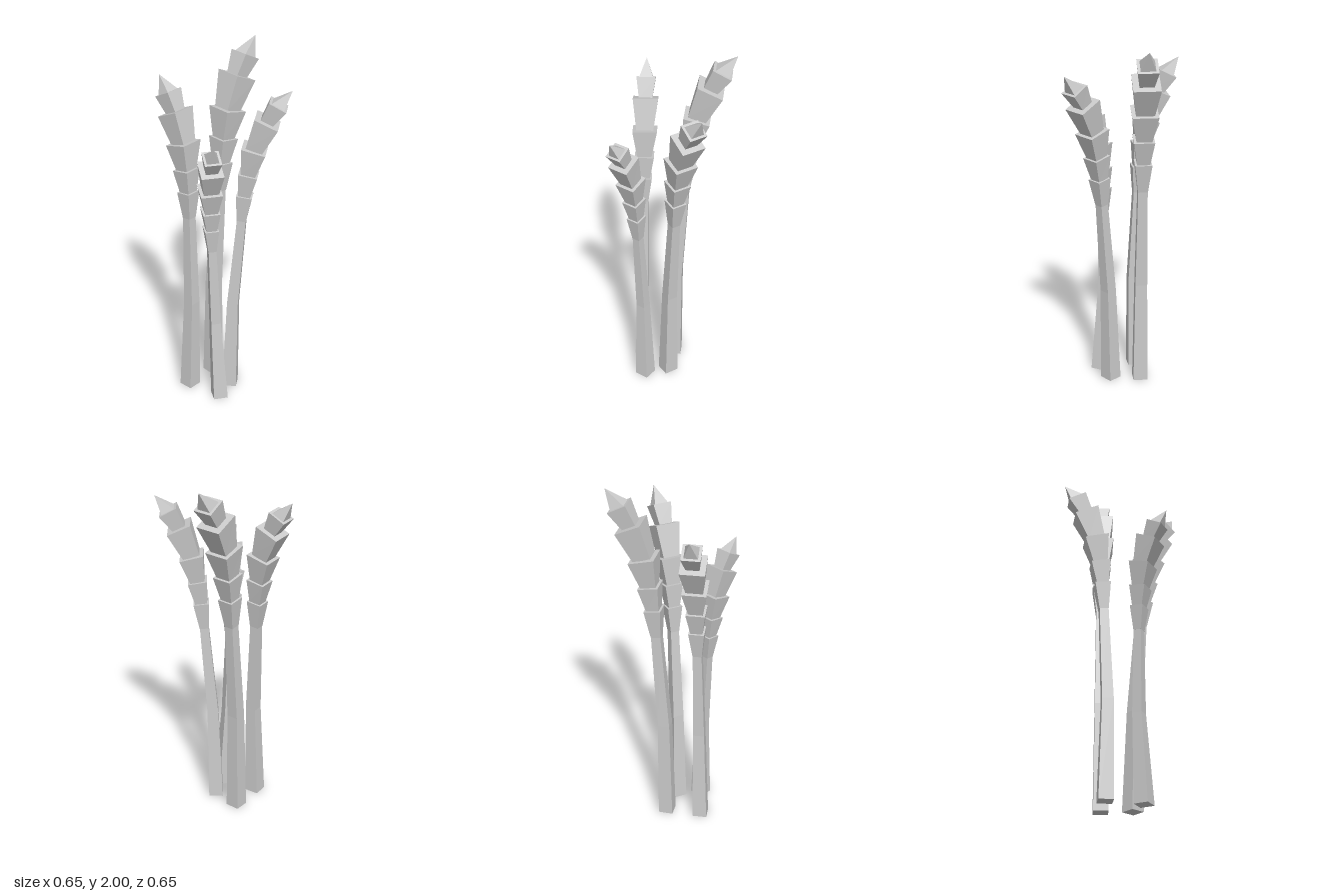
import * as THREE from 'three';

// Rings along a stalk: u = reach in the bending direction, y = height,
// tilt in radians, half = half width of the square section
const STEM = [
  { u: 0, y: 0, tilt: 0, half: 0.04, fixed: true },
  { u: 0.012, y: 0.6, tilt: 0.04, half: 0.033 },
  { u: 0.055, y: 1.17, tilt: 0.1, half: 0.026 },
];
const HEAD = [
  { u: 0.055, y: 1.17, tilt: 0.1, from: 0.027, to: 0.046 },
  { u: 0.07, y: 1.335, tilt: 0.12, from: 0.035, to: 0.056 },
  { u: 0.09, y: 1.475, tilt: 0.17, from: 0.042, to: 0.071 },
  { u: 0.121, y: 1.635, tilt: 0.25, from: 0.049, to: 0.073 },
  { u: 0.19, y: 1.81, tilt: 0.43, from: 0.039, to: 0.055 },
  { u: 0.25, y: 1.912, tilt: 0.49, from: 0.04, to: 0 },
];
const TIP = { u: 0.325, y: 2, tilt: 0.6 };
const CORNERS = [[-1, -1], [-1, 1], [1, 1], [1, -1]];

// Closed square tube through a list of rings
function squareLoft(rings, { scale, lean }) {
  const pos = [];
  const loops = rings.map((r) => CORNERS.map(([a, b]) => {
    const h = r.fixed ? r.half : r.half * scale;
    const y = r.y * scale - a * h * Math.sin(r.tilt);
    return [r.u * scale + a * h * Math.cos(r.tilt) + lean[0] * y, y, b * h + lean[1] * y];
  }));
  const quad = (a, b, c, d) => pos.push(...a, ...b, ...c, ...a, ...c, ...d);
  const first = loops[0], last = loops[loops.length - 1];
  for (let k = 0; k < loops.length - 1; k++) {
    for (let i = 0; i < 4; i++) {
      const j = (i + 1) % 4, lo = loops[k], hi = loops[k + 1];
      if (rings[k + 1].half === 0) pos.push(...lo[i], ...lo[j], ...hi[j]);
      else quad(lo[i], lo[j], hi[j], hi[i]);
    }
  }
  quad(first[3], first[2], first[1], first[0]);
  if (rings[rings.length - 1].half > 0) quad(...last);
  const geo = new THREE.BufferGeometry();
  geo.setAttribute('position', new THREE.Float32BufferAttribute(pos, 3));
  geo.computeVertexNormals();
  return geo;
}

function makeStalk(spec, material) {
  const stalk = new THREE.Group();
  const add = (name, rings) => {
    const mesh = new THREE.Mesh(squareLoft(rings, spec), material);
    mesh.name = name;
    stalk.add(mesh);
  };
  add('stem', STEM);
  // Flared grain segments, each wider at its top, ending in a point
  HEAD.forEach((g, i) => {
    const next = HEAD[i + 1] || TIP;
    add(i < HEAD.length - 1 ? 'grainSegment' + (i + 1) : 'grainTip', [
      { u: g.u, y: g.y, tilt: next === TIP ? g.tilt : (g.tilt + next.tilt) / 2, half: g.from },
      { u: next.u, y: next.y, tilt: next.tilt, half: g.to },
    ]);
  });
  stalk.position.set(spec.x, 0, spec.z);
  stalk.rotation.y = spec.turn;
  stalk.name = spec.name;
  return stalk;
}

export function createModel() {
  const material = new THREE.MeshStandardMaterial({ color: 0xcccccc, flatShading: true });
  const model = new THREE.Group();
  model.name = 'grainStalks';
  // Four stalks; lean shifts each one along and across its bend
  [
    { name: 'backLeftStalk', x: 0, z: -0.105, turn: 0, scale: 1, lean: [0, -0.003] },
    { name: 'frontLeftStalk', x: -0.019, z: 0.061, turn: -0.9, scale: 0.925, lean: [0.011, 0] },
    { name: 'backRightStalk', x: -0.194, z: -0.09, turn: 1.661, scale: 0.925, lean: [-0.037, 0.023] },
    { name: 'frontRightStalk', x: -0.148, z: 0.11, turn: -2.093, scale: 0.82, lean: [-0.052, 0.041] },
  ].forEach((spec) => model.add(makeStalk(spec, material)));
  return model;
}
